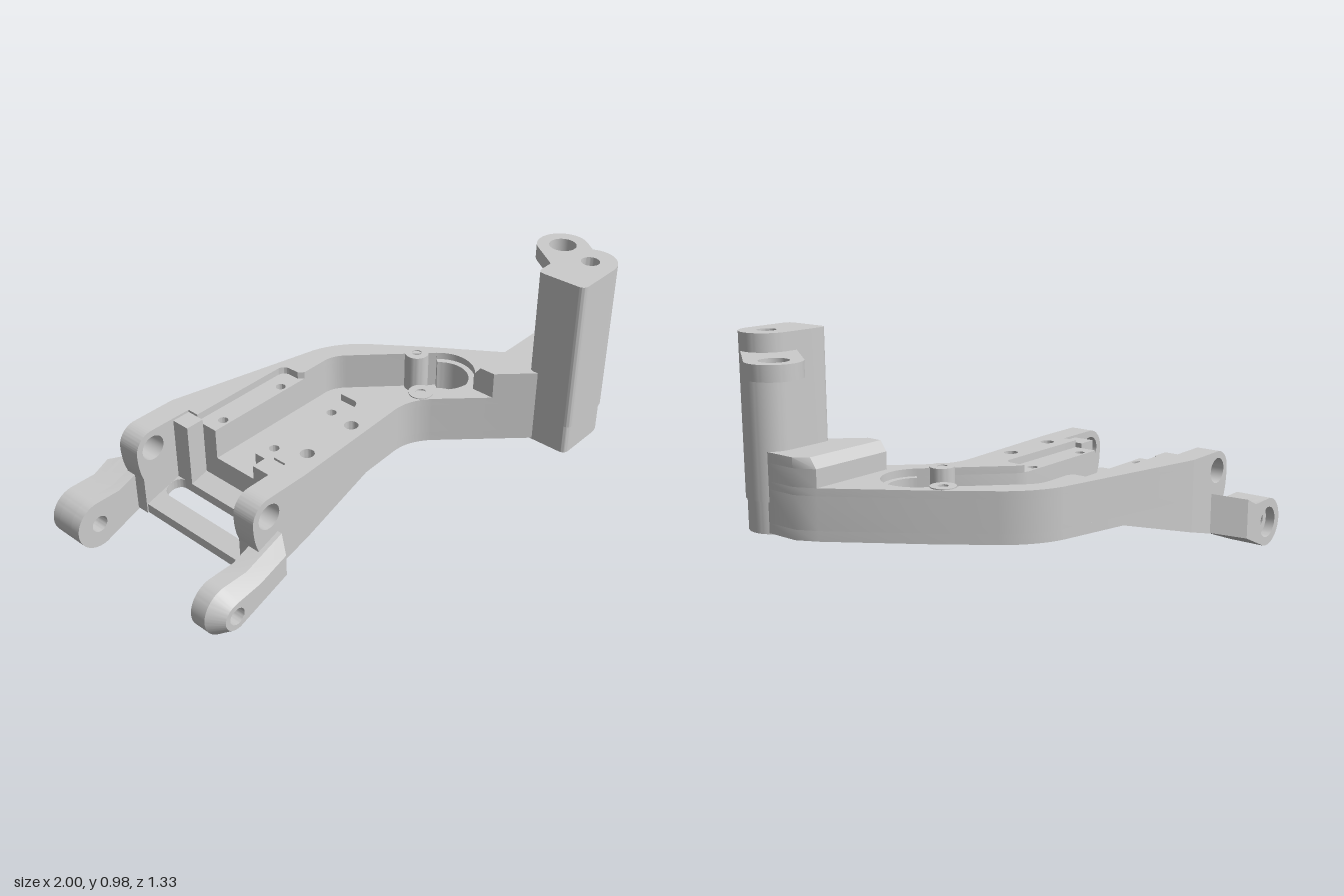
import * as THREE from 'three';
import { toCreasedNormals } from 'three/addons/utils/BufferGeometryUtils.js';

const SLOPE = 0.27; // rise of the sloping underside towards +x
const KINK = -0.1; // where the underside turns level
const BOTTOM = 0.24, FLOOR = 0.28, LEDGE = 0.41, TOP = 0.44;
const material = new THREE.MeshStandardMaterial({ color: 0xcccccc });

export function createModel() {
  const model = new THREE.Group();

  const add = (name, geo) => {
    const mesh = new THREE.Mesh(toCreasedNormals(geo, 0.6), material);
    mesh.name = name;
    model.add(mesh);
  };

  // Moves every vertex by a rule
  const bend = (geo, rule) => {
    const pos = geo.attributes.position;
    const v = new THREE.Vector3();
    for (let i = 0; i < pos.count; i++) {
      rule(v.fromBufferAttribute(pos, i));
      pos.setXYZ(i, v.x, v.y, v.z);
    }
    return geo;
  };

  const poly = (points) => new THREE.Shape(points.map(([x, y]) => new THREE.Vector2(x, y)));
  const drill = (shape, holes) => {
    for (const [x, y, r] of holes) shape.holes.push(new THREE.Path().absarc(x, y, r, 0, Math.PI * 2, true));
    return shape;
  };
  const extrude = (shape, depth) =>
    new THREE.ExtrudeGeometry(shape, { depth, bevelEnabled: false, curveSegments: 20 });
  // Extrusion of an x-z outline between two heights
  const slab = (shape, y0, y1) => extrude(shape, y1 - y0).rotateX(Math.PI / 2).translate(0, y1, 0);
  // Extrusion of an x-y outline between two depths
  const plate = (shape, z0, z1) => extrude(shape, z1 - z0).translate(0, 0, z0);

  // Outer edge of the body, from (x0, back) round to (x0, front)
  const outerEdge = (x0) => {
    const s = new THREE.Shape();
    s.moveTo(x0, -0.56 + (x0 + 0.46) * 0.246);
    s.lineTo(0.19, -0.4);
    s.quadraticCurveTo(0.31, -0.36, 0.39, -0.25);
    s.lineTo(0.53, -0.06);
    s.lineTo(0.76, 0.28);
    s.lineTo(0.8, 0.36);
    s.lineTo(0.8, 0.5);
    s.lineTo(0.52, 0.5);
    s.lineTo(0.24, 0.21);
    s.quadraticCurveTo(0.17, 0.14, 0.08, 0.142);
    s.lineTo(x0, 0.17 - (x0 + 0.46) * 0.052);
    return s;
  };

  // Diagonal channel with a round end; the top layer also has a wide recess
  const channelled = (recess, r) => {
    const s = outerEdge(-0.46);
    if (recess) {
      s.lineTo(-0.46, 0.01);
      s.lineTo(-0.02, 0.01);
      s.quadraticCurveTo(0.02, 0.01, 0.02, -0.03);
      s.lineTo(0.02, -0.09);
    } else {
      s.lineTo(-0.46, -0.09);
      s.lineTo(0.0, -0.09);
    }
    s.lineTo(0.05, -0.07);
    s.lineTo(0.32, 0.2);
    s.absarc(0.42, 0.1, r, Math.PI * 0.75, -Math.PI / 4, true);
    s.lineTo(0.52, 0);
    s.lineTo(0.25, -0.27);
    s.quadraticCurveTo(0.21, -0.31, 0.16, -0.31);
    if (recess) {
      s.lineTo(0.04, -0.31);
      s.lineTo(0.02, -0.33);
      s.lineTo(0.02, -0.37);
      s.quadraticCurveTo(0.02, -0.41, -0.02, -0.41);
      s.lineTo(-0.46, -0.41);
    } else s.lineTo(-0.46, -0.31);
    return s;
  };

  // Body in layers
  const rimHoles = [[-0.36, 0.085, 0.028], [-0.115, 0.085, 0.028]];
  const recessHoles = [];
  for (const x of [-0.39, -0.07]) for (const z of [-0.34, -0.06]) recessHoles.push([x, z, 0.02]);
  add('bodyTop', slab(drill(channelled(true, 0.14), rimHoles), LEDGE, TOP));
  add('bodyWalls', slab(drill(channelled(false, 0.115), [...rimHoles, ...recessHoles]), FLOOR, LEDGE));
  add('bodyBase', slab(outerEdge(KINK), BOTTOM, FLOOR));
  const ramp = poly([[-0.46, -0.56], [KINK, -0.471], [KINK, 0.151], [-0.46, 0.17]]);
  add('slopingBase', bend(slab(ramp, BOTTOM, FLOOR), (v) => {
    if (v.y < FLOOR - 0.01) v.y += SLOPE * (v.x - KINK);
  }));

  // Screw bosses beside the round pocket
  for (const [x, z] of [[0.46, -0.06], [0.24, 0.14]]) {
    const ring = new THREE.Shape().absarc(x, z, 0.05, 0, Math.PI * 2);
    add('screwBoss', slab(drill(ring, [[x, z, 0.02]]), FLOOR, TOP + 0.004));
  }

  // Sloping floor of the open end, with its long slot
  const floor = poly([[-0.705, -0.47], [-0.46, -0.47], [-0.46, 0.08], [-0.705, 0.08]]);
  const slot = new THREE.Path();
  slot.absarc(-0.585, 0.025, 0.045, 0, Math.PI);
  slot.absarc(-0.585, -0.415, 0.045, Math.PI, Math.PI * 2);
  floor.holes.push(slot);
  add('slottedFloor', bend(slab(floor, BOTTOM, FLOOR), (v) => { v.y += SLOPE * (v.x - KINK); }));

  // Side walls with pierced round corners
  const wall = new THREE.Shape();
  wall.moveTo(-0.46, 0.143);
  wall.lineTo(-0.46, TOP);
  wall.lineTo(-0.65, TOP);
  wall.absarc(-0.65, 0.36, 0.08, Math.PI / 2, Math.PI);
  wall.quadraticCurveTo(-0.73, 0.29, -0.71, 0.24);
  wall.lineTo(-0.71, 0.075);
  drill(wall, [[-0.65, 0.36, 0.052]]);
  add('backWall', plate(wall, -0.56, -0.46));
  add('frontWall', plate(wall, 0.07, 0.17));
  for (const [z0, z1] of [[-0.47, -0.38], [-0.02, 0.08]]) {
    add('wallRib', new THREE.BoxGeometry(0.08, 0.29, z1 - z0).translate(-0.5, 0.285, (z0 + z1) / 2));
  }

  // Hinge arms
  const arm = (hole) => {
    const s = new THREE.Shape();
    s.moveTo(-0.61, 0.105);
    s.lineTo(-0.61, 0.27);
    s.lineTo(-0.79, 0.206);
    s.absarc(-0.9, 0.105, 0.102, Math.PI / 2, Math.PI * 1.58);
    return drill(s, [[-0.9, 0.105, hole]]);
  };
  add('frontHingeArm', plate(arm(0.035), 0.12, 0.19));
  // Outer end narrows towards the arm's centre line
  const from = new THREE.Vector3(-0.9, 0.105, 0), to = new THREE.Vector3(-0.7, 0.17, 0);
  const axis = new THREE.Line3(from, to), near = new THREE.Vector3();
  add('frontHingeCap', bend(plate(arm(0.035), 0.19, 0.25), (v) => {
    if (v.z < 0.24 || Math.hypot(v.x + 0.9, v.y - 0.105) < 0.04) return;
    axis.closestPointToPoint(near.set(v.x, v.y, 0), true, near);
    v.x = near.x + (v.x - near.x) * 0.55;
    v.y = near.y + (v.y - near.y) * 0.55;
  }));
  // Slanted shoulder where the back arm leaves the wall
  const shoulder = (v) => {
    const cut = v.x > -0.7 ? Math.max(0, -0.56 - v.z) : 0;
    v.x -= cut;
    v.y -= cut * SLOPE;
  };
  add('backHingeArm', bend(plate(arm(0.035), -0.56, -0.515), shoulder));
  add('backHingeMiddle', bend(plate(arm(0.035), -0.63, -0.56), shoulder));
  add('backHingeCounterbore', bend(plate(arm(0.065), -0.67, -0.63), shoulder));

  // Chamfered step in front of the post
  const step = () => poly([[0.4, 0.28], [0.76, 0.28], [0.8, 0.36], [0.8, 0.5], [0.52, 0.5], [0.4, 0.376]]);
  add('step', slab(step(), TOP, 0.51));
  add('stepChamfer', bend(slab(step(), 0.51, 0.55), (v) => {
    if (v.y > 0.53 && v.z < 0.3) v.z += 0.03;
  }));

  // Upright post with one rounded side and a bore
  const post = (r) => {
    const s = new THREE.Shape();
    s.moveTo(0.55, 0.56 - r);
    s.lineTo(0.72, 0.56 - r);
    s.absarc(0.72, 0.56, r, -Math.PI / 2, Math.PI / 2);
    s.lineTo(0.55, 0.56 + r);
    s.quadraticCurveTo(0.52, 0.56 + r, 0.52, 0.53 + r);
    s.lineTo(0.52, 0.59 - r);
    s.quadraticCurveTo(0.52, 0.56 - r, 0.55, 0.56 - r);
    return drill(s, [[0.72, 0.56, 0.036]]);
  };
  add('post', slab(post(0.104), 0.36, 0.985));
  add('postFoot', slab(post(0.098), 0.235, 0.36));

  // Ear on the post
  const dir = Math.atan2(0.33 - 0.56, 0.89 - 0.72);
  const ear = new THREE.Shape();
  ear.absarc(0.89, 0.33, 0.104, dir - Math.PI / 2, dir + Math.PI / 2);
  ear.absarc(0.72, 0.56, 0.1, dir + Math.PI / 2, dir + Math.PI * 1.5);
  add('ear', slab(drill(ear, [[0.89, 0.33, 0.055], [0.72, 0.56, 0.036]]), 0.855, 0.915));

  return model;
}
